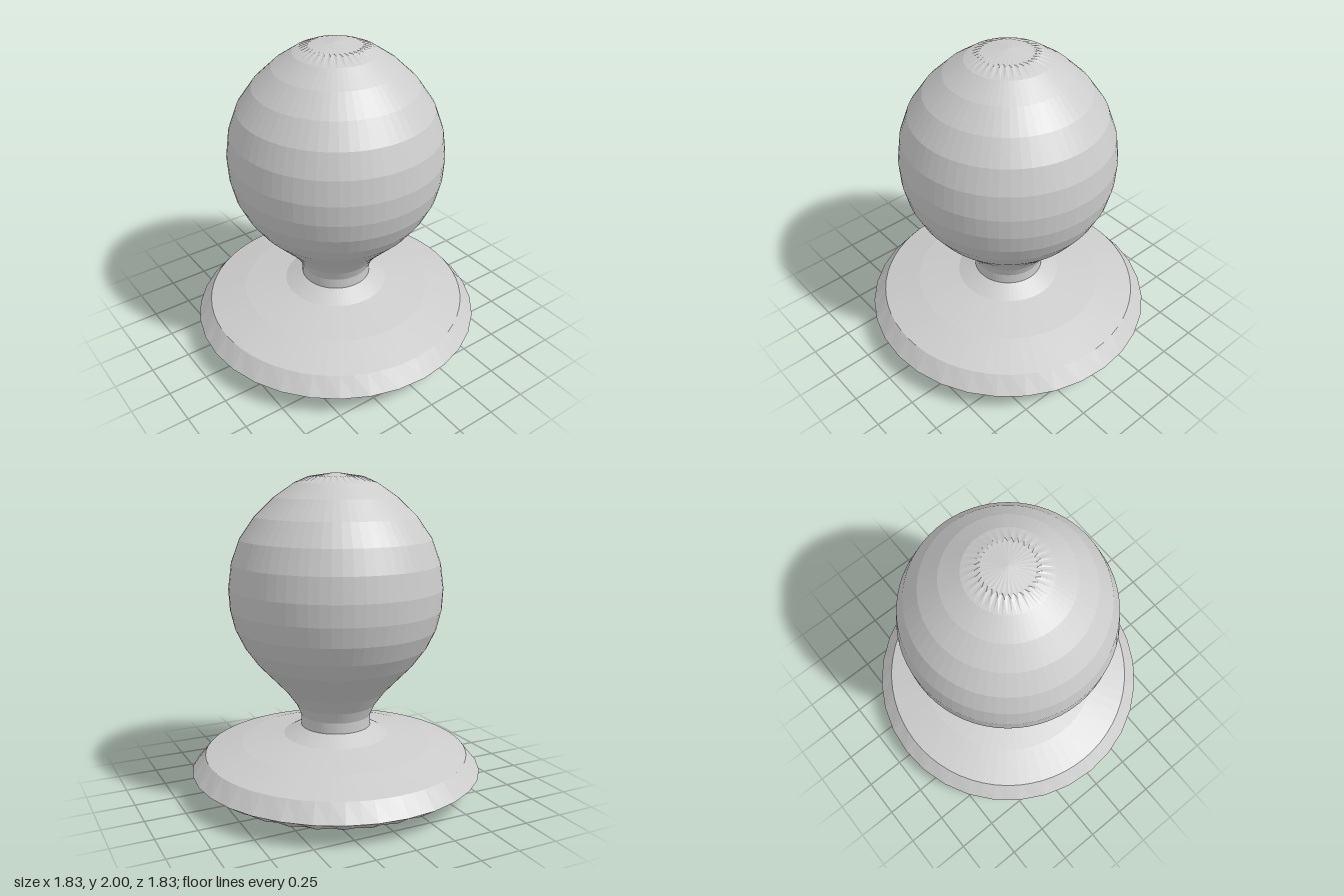
import * as THREE from 'three';

const SIDES = 64;

// Turned part from [radius, height, oddRadius?, oddHeight?] rows, bottom to top.
// The optional values move every second vertex of a ring to pleat it.
function turned(name, rows, material) {
  const points = rows.map(([r, y]) => new THREE.Vector2(r, y));
  const geometry = new THREE.LatheGeometry(points, SIDES);
  const pos = geometry.attributes.position;
  for (let i = 1; i < SIDES; i += 2) {
    const a = (i / SIDES) * Math.PI * 2;
    rows.forEach(([r, y, oddR = r, oddY = y], j) => {
      pos.setXYZ(i * rows.length + j, Math.sin(a) * oddR, oddY, Math.cos(a) * oddR);
    });
  }
  geometry.computeVertexNormals();
  const mesh = new THREE.Mesh(geometry, material);
  mesh.name = name;
  return mesh;
}

export function createModel() {
  const group = new THREE.Group();
  group.name = 'knob';
  const material = new THREE.MeshStandardMaterial({ color: 0xcccccc, flatShading: true });

  // Flared base: shallow cone underside, pleated edge, 32-sided rim, sloping top
  const rim = 0.917;
  group.add(turned('base', [
    [0, 0],
    [0.8, 0.07, 0.75, 0.055],
    [rim, 0.15, rim * Math.cos(Math.PI / 32)],
    [0.832, 0.252],
    [0.6, 0.315],
    [0.33, 0.365],
    [0.22, 0.422],
  ], material));

  // Neck and bulb handle, closed by a finely pleated cap
  group.add(turned('handle', [
    [0.22, 0.422],
    [0.22, 0.49],
    [0.25, 0.56],
    [0.315, 0.65],
    [0.4, 0.74],
    [0.495, 0.84],
    [0.57, 0.945],
    [0.625, 1.06],
    [0.653, 1.18],
    [0.66, 1.31],
    [0.64, 1.46],
    [0.587, 1.605],
    [0.493, 1.74],
    [0.373, 1.855],
    [0.25, 1.94],
    [0.17, 1.975, 0.145, 1.98],
    [0, 2],
  ], material));

  return group;
}
